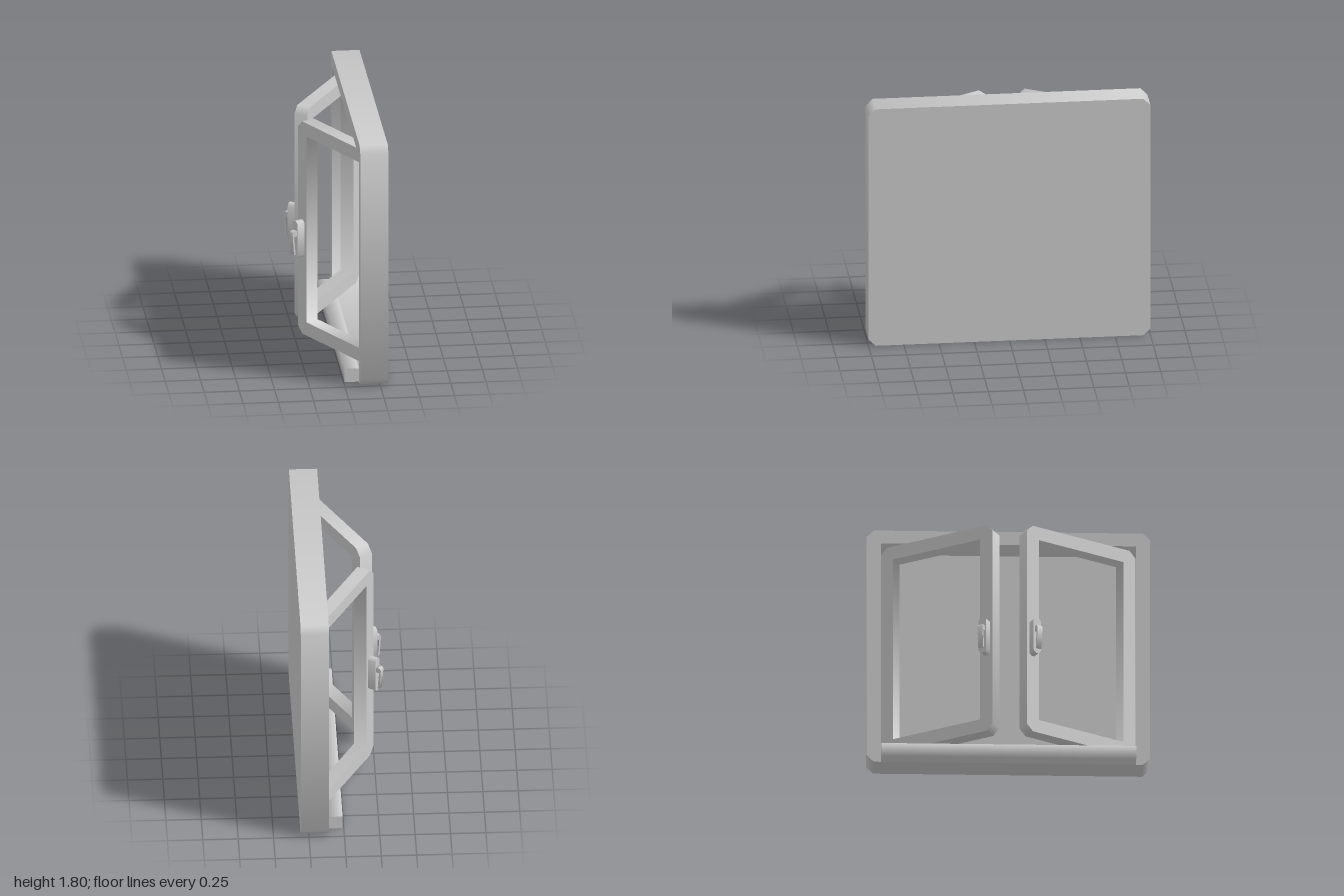
import * as THREE from 'three';

const grey = new THREE.MeshStandardMaterial({ color: 0xcccccc });
grey.name = 'light grey paint';

// Rectangle outline with cut corners
function cutRect(x0, y0, x1, y1, c) {
  return [
    [x0 + c, y0], [x1 - c, y0], [x1, y0 + c], [x1, y1 - c],
    [x1 - c, y1], [x0 + c, y1], [x0, y1 - c], [x0, y0 + c],
  ];
}

const rect = (x0, y0, x1, y1) => [[x0, y0], [x1, y0], [x1, y1], [x0, y1]];
const toVectors = (pts) => pts.map(([x, y]) => new THREE.Vector2(x, y));

// Extrusion with flat caps and walls shaded smoothly around the outline
function slab(outline, depth, hole) {
  const shape = new THREE.Shape(toVectors(outline));
  if (hole) shape.holes.push(new THREE.Path(toVectors(hole)));
  const geo = new THREE.ExtrudeGeometry(shape, { depth, bevelEnabled: false });
  const pos = geo.attributes.position;
  const nor = geo.attributes.normal;
  const sums = new Map();
  const key = (i) => `${pos.getX(i).toFixed(4)},${pos.getY(i).toFixed(4)}`;
  const wall = geo.groups[1];
  for (let i = wall.start; i < wall.start + wall.count; i++) {
    if (!sums.has(key(i))) sums.set(key(i), new THREE.Vector3());
    sums.get(key(i)).add(new THREE.Vector3().fromBufferAttribute(nor, i));
  }
  for (const sum of sums.values()) sum.normalize();
  for (let i = wall.start; i < wall.start + wall.count; i++) {
    const n = sums.get(key(i));
    nor.setXYZ(i, n.x, n.y, n.z);
  }
  geo.clearGroups();
  return geo;
}

function part(name, geo) {
  const mesh = new THREE.Mesh(geo, grey);
  mesh.name = name;
  return mesh;
}

// Hinged sash with handle; local x runs from the hinge to the free edge
function makeSash(side) {
  const sash = new THREE.Group();
  sash.name = side > 0 ? 'frontSash' : 'rearSash';

  const frame = slab(cutRect(0, 0.1, 0.9, 1.7, 0.05), 0.1, rect(0.1, 0.2, 0.8, 1.6));
  frame.translate(0, 0, side > 0 ? 0 : -0.1);
  sash.add(part('sashFrame', frame));

  const base = slab(cutRect(0.82, 0.685, 0.88, 0.96, 0.02), 0.06);
  base.translate(0, 0, side > 0 ? -0.06 : 0);
  sash.add(part('handleBase', base));

  // Bent lever: neck at the top, blade hanging down
  const profile = [
    [0.06, 0.89], [0.087, 0.89], [0.097, 0.875], [0.085, 0.715],
    [0.071, 0.715], [0.082, 0.85], [0.06, 0.85],
  ].map(([n, y]) => [-side * n, y]);
  const lever = slab(profile, 0.04);
  lever.rotateY(-Math.PI / 2).translate(0.87, 0, 0);
  sash.add(part('handleLever', lever));

  // Swung open by thirty degrees
  sash.position.set(0.208, 0, side * 0.9);
  sash.rotation.y = side * (Math.PI * 2) / 3;
  return sash;
}

export function createModel() {
  const model = new THREE.Group();
  model.name = 'window';

  // Fixed outer frame
  const frame = slab(cutRect(-1, 0, 1, 1.8, 0.05), 0.2, rect(-0.9, 0.1, 0.9, 1.7));
  frame.rotateY(-Math.PI / 2).translate(0.308, 0, 0);
  model.add(part('outerFrame', frame));

  // Solid panel closing the outer side
  const panel = new THREE.BoxGeometry(0.008, 1.6, 1.8);
  panel.translate(0.304, 0.9, 0);
  model.add(part('backPanel', panel));

  // Inner sill
  const sill = slab(rect(0.008, 0, 0.108, 0.1), 1.8);
  sill.translate(0, 0, -0.9);
  model.add(part('sill', sill));

  for (const side of [1, -1]) model.add(makeSash(side));
  return model;
}
